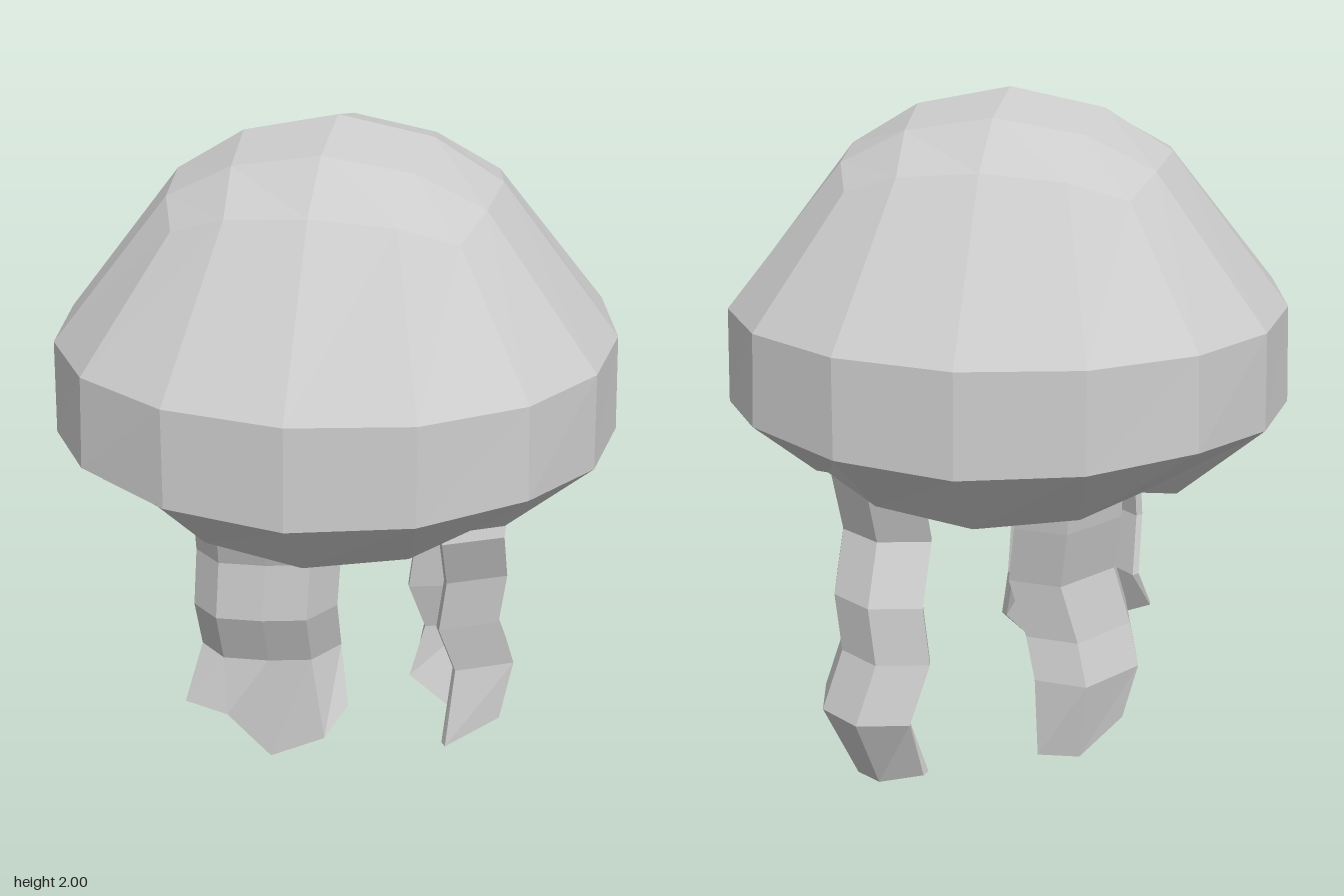
import * as THREE from 'three';

const material = new THREE.MeshStandardMaterial({ color: 0xcccccc, flatShading: true });

// Collects quads of points into one faceted mesh
function quadMesh(name, quads) {
  const pos = [];
  for (const [a, b, c, d] of quads) for (const p of [a, b, c, a, c, d]) pos.push(...p);
  const geometry = new THREE.BufferGeometry();
  geometry.setAttribute('position', new THREE.Float32BufferAttribute(pos, 3));
  geometry.computeVertexNormals();
  const mesh = new THREE.Mesh(geometry, material);
  mesh.name = name;
  return mesh;
}

// Joins a stack of closed rings, first ring on top
function skin(rings) {
  const quads = [];
  for (let r = 0; r + 1 < rings.length; r++) {
    const u = rings[r], l = rings[r + 1], n = u.length;
    for (let k = 0; k < n; k++) {
      const m = (k + 1) % n;
      quads.push([u[k], u[m], l[m], l[k]]);
    }
  }
  return quads;
}

// Places an eighth-sector point [major, minor, y] in the sector of grid index (i, j)
function place([major, minor, y], i, j) {
  const xMajor = Math.abs(i) >= Math.abs(j);
  return [Math.sign(i) * (xMajor ? major : minor), y, Math.sign(j) * (xMajor ? minor : major)];
}

// The 16 border indices of a 5 x 5 grid, walking from +x towards +z
const BORDER = [[2, 0], [2, 1], [2, 2], [1, 2], [0, 2], [-1, 2], [-2, 2], [-2, 1],
  [-2, 0], [-2, -1], [-2, -2], [-1, -2], [0, -2], [1, -2], [2, -2], [2, -1]];

// Hollow bell: square-grid crown, three bands, scalloped rim and inner wall
function createBell() {
  const crown = [
    [[0, 0, 2]],
    [[0.255, 0, 1.95], [0.235, 0.235, 1.91]],
    [[0.44, 0, 1.84], [0.415, 0.215, 1.82], [0.365, 0.365, 1.77]],
  ];
  const shoulder = [[0.765, 0, 1.43], [0.715, 0.31, 1.435], [0.56, 0.56, 1.44]];
  const belt = [[0.778, 0, 1.162], [0.725, 0.312, 1.175], [0.57, 0.57, 1.195]];
  const rim = [[0.55, 0, 0.945], [0.5, 0.27, 0.97], [0.42, 0.42, 1.025]];
  const inset = (table, s, dy) => table.map(([a, b, y]) => [a * s, b * s, y + dy]);
  const innerCrown = crown.map((t) => inset(t, 0.95, -0.04));

  const ring = (table) => BORDER.map(([i, j]) =>
    place(table[Math.min(Math.abs(i), Math.abs(j))], i, j));
  const quads = skin([crown[2], shoulder, belt, rim, inset(rim, 0.95, 0.015),
    inset(belt, 0.95, 0.01), inset(shoulder, 0.95, -0.01), innerCrown[2]].map(ring));

  const at = (table, i, j) => {
    const a = Math.abs(i), b = Math.abs(j);
    return place(table[Math.max(a, b)][Math.min(a, b)], i, j);
  };
  for (let i = -2; i < 2; i++) {
    for (let j = -2; j < 2; j++) {
      const corners = [[i, j], [i, j + 1], [i + 1, j + 1], [i + 1, j]];
      quads.push(corners.map(([p, q]) => at(crown, p, q)));
      quads.push(corners.map(([p, q]) => at(innerCrown, p, q)).reverse());
    }
  }
  return quadMesh('bell', quads);
}

// Curved ribbon: section of [x, z] points, rows of [y, dx, dz], ragged end points [x, y, z]
function createTentacle(name, section, rows, ends, thickness = 0.025) {
  const levels = rows.map(([y, dx, dz]) => section.map(([x, z]) => [x + dx, y, z + dz]));
  levels.push(ends);
  const n = section.length;
  const rings = levels.map((outer) => {
    const inner = outer.map((p, i) => {
      const a = outer[Math.max(i - 1, 0)], b = outer[Math.min(i + 1, n - 1)];
      const dx = b[0] - a[0], dz = b[2] - a[2];
      const s = thickness / Math.hypot(dx, dz);
      return [p[0] - dz * s, p[1], p[2] + dx * s];
    });
    return [...outer, ...inner.reverse()];
  });
  const quads = skin(rings);
  const top = rings[0], bottom = rings[rings.length - 1];
  for (let i = 0; i + 1 < n; i++) {
    const loop = [i, i + 1, 2 * n - 2 - i, 2 * n - 1 - i];
    quads.push(loop.map((k) => bottom[k]), loop.map((k) => top[k]).reverse());
  }
  return quadMesh(name, quads);
}

export function createModel() {
  const model = new THREE.Group();
  model.name = 'jellyfish';
  model.add(createBell());

  model.add(createTentacle('frontTentacle',
    [[0.05, 0.24], [-0.02, 0.34], [-0.14, 0.365], [-0.27, 0.37], [-0.35, 0.3]],
    [[1.66, 0.02, -0.02], [1.34, 0, 0.02], [1.02, 0.01, 0.06], [0.84, 0, 0],
      [0.67, -0.01, 0.01], [0.5, -0.01, -0.06]],
    [[0.07, 0.33, 0.24], [0.01, 0.25, 0.3], [-0.15, 0.17, 0.3], [-0.27, 0.32, 0.33], [-0.39, 0.36, 0.34]]));

  model.add(createTentacle('backLeftTentacle',
    [[0.18, -0.25], [0.33, -0.28], [0.45, -0.2], [0.485, -0.05], [0.31, 0.03]],
    [[1.62, -0.05, 0], [1.32, 0, -0.02], [1.0, 0.015, -0.07], [0.77, 0, 0],
      [0.6, 0.01, -0.08], [0.43, -0.01, -0.09], [0.26, 0.04, -0.14]],
    [[0.19, 0.085, -0.36], [0.34, 0.01, -0.3], [0.42, 0, -0.24], [0.49, 0.07, -0.16], [0.33, 0.01, -0.06]]));

  model.add(createTentacle('backRightTentacle',
    [[-0.31, 0.04], [-0.34, -0.12], [-0.21, -0.28], [-0.06, -0.26]],
    [[1.66, 0.02, 0.02], [1.34, 0, 0], [1.02, -0.01, -0.04], [0.84, 0, -0.02],
      [0.67, 0.02, 0.01], [0.5, -0.03, 0.01], [0.38, -0.06, -0.02]],
    [[-0.33, 0.2, -0.05], [-0.36, 0.22, -0.16], [-0.25, 0.14, -0.27], [-0.13, 0.14, -0.28]]));

  return model;
}
